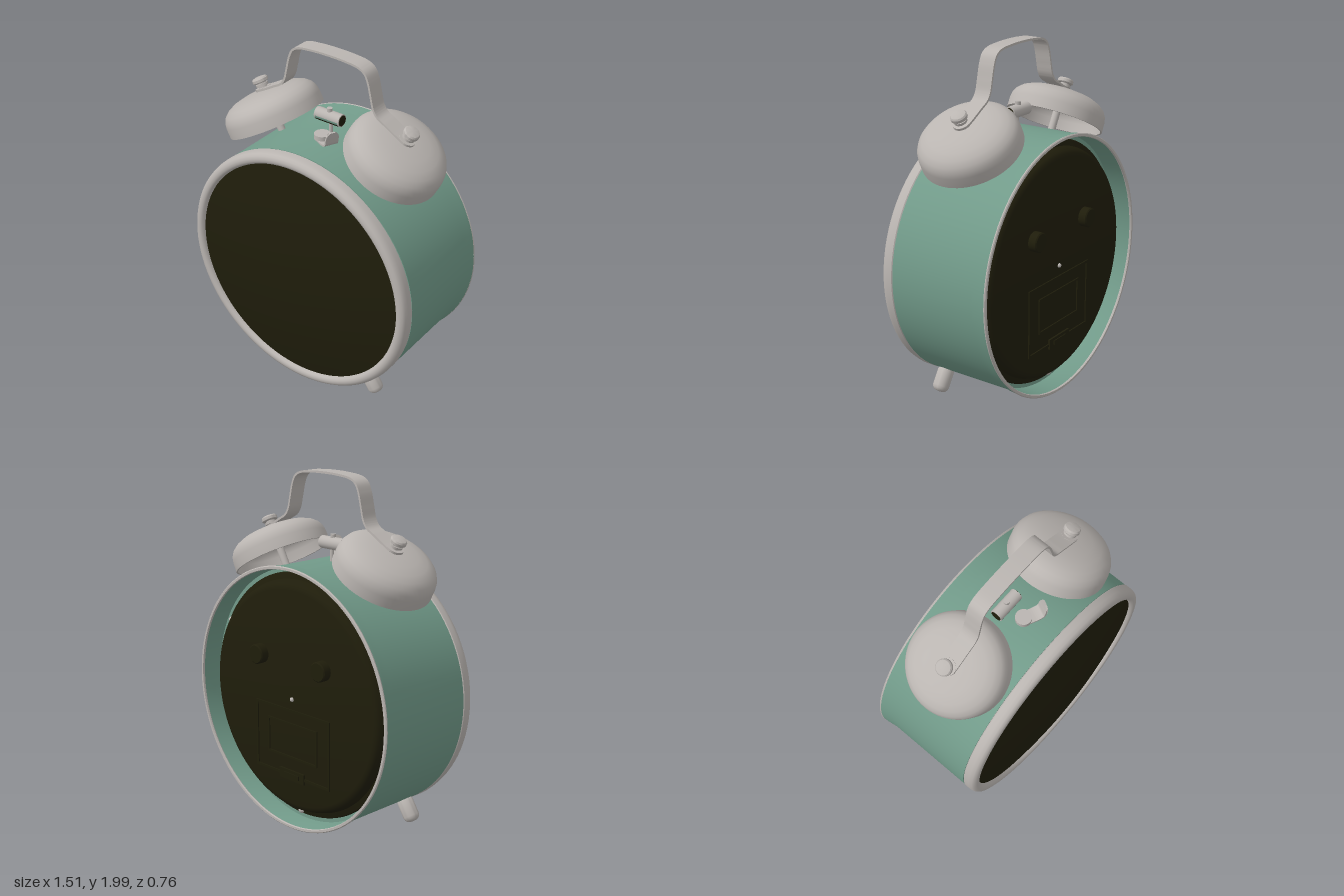
import * as THREE from 'three';
import { toCreasedNormals } from 'three/addons/utils/BufferGeometryUtils.js';

const material = (name, color) => {
  const m = new THREE.MeshStandardMaterial({ color });
  m.name = name;
  return m;
};

export function createModel() {
  const model = new THREE.Group();
  model.name = 'alarmClock';
  const metal = material('brushed metal', 0xbab5b1);
  const paint = material('green paint', 0x729b8a);
  const dark = material('dark glass and plastic', 0x1f1d0b);

  const CY = 0.76; // height of the clock centre
  const BELL_ANGLE = 0.505;

  const add = (parent, name, geo, mat, x = 0, y = 0, z = 0) => {
    const mesh = new THREE.Mesh(geo, mat);
    mesh.name = name;
    mesh.position.set(x, y, z);
    parent.add(mesh);
    return mesh;
  };
  // Turned profile of [radius, height] points, outside listed upwards
  const turned = (pts, seg = 96) =>
    toCreasedNormals(new THREE.LatheGeometry(pts.map(p => new THREE.Vector2(...p)), seg), 0.6);
  const cyl = (r, h, seg = 32) => new THREE.CylinderGeometry(r, r, h, seg);
  // Flat strip bent along a path in the xy plane, centred on z = 0
  const ribbon = (pts, width, thick, steps) => {
    const curve = new THREE.CatmullRomCurve3(pts.map(p => new THREE.Vector3(p[0], p[1], 0)), false, 'centripetal');
    const upper = [], lower = [];
    for (let i = 0; i <= steps; i++) {
      const p = curve.getPoint(i / steps), t = curve.getTangent(i / steps);
      upper.push(new THREE.Vector2(p.x - t.y * thick / 2, p.y + t.x * thick / 2));
      lower.unshift(new THREE.Vector2(p.x + t.y * thick / 2, p.y - t.x * thick / 2));
    }
    const geo = new THREE.ExtrudeGeometry(new THREE.Shape([...upper, ...lower]), { depth: width, bevelEnabled: false });
    geo.translate(0, 0, -width / 2);
    return toCreasedNormals(geo, 0.6);
  };

  // Case parts are turned about the front-to-back axis
  const clockCase = new THREE.Group();
  clockCase.name = 'case';
  clockCase.position.y = CY;
  clockCase.rotation.x = Math.PI / 2;
  model.add(clockCase);

  add(clockCase, 'caseShell', turned([
    [0.74, -0.368], [0.752, -0.368], [0.75, -0.345], [0.742, -0.29], [0.741, -0.28], [0.741, 0.25],
    [0.70, 0.25], [0.728, 0.24], [0.728, -0.245], [0.66, -0.245], [0.66, -0.25], [0.728, -0.25],
    [0.73, -0.3], [0.74, -0.368],
  ]), paint);
  add(clockCase, 'rearRim', turned([
    [0.733, -0.37], [0.736, -0.378], [0.749, -0.378], [0.754, -0.373], [0.752, -0.366], [0.736, -0.364], [0.733, -0.37],
  ]), metal);
  add(clockCase, 'bezel', turned([
    [0.69, 0.25], [0.736, 0.25], [0.743, 0.257], [0.743, 0.29], [0.738, 0.311], [0.728, 0.324], [0.712, 0.33],
    [0.698, 0.33], [0.686, 0.324], [0.678, 0.31], [0.676, 0.29], [0.69, 0.25],
  ]), metal);

  const domePoints = [];
  for (let i = 0; i <= 12; i++) {
    const r = 0.685 * (1 - i / 12);
    domePoints.push([r, 0.38 - r * r / 6.3]);
  }
  add(clockCase, 'frontGlass', turned(domePoints), dark);
  add(clockCase, 'backPanel', turned([
    [0, -0.335], [0.62, -0.335], [0.638, -0.33], [0.652, -0.318], [0.662, -0.295], [0.668, -0.275],
    [0.7, -0.262], [0.705, -0.25],
  ]), dark);

  // Back details: setting knobs, screws, centre pin and battery door
  for (const s of [-1, 1]) {
    const knob = add(model, 'settingKnob', turned([[0, -0.02], [0.05, -0.02], [0.056, -0.014], [0.056, 0.035]], 32),
      dark, s * 0.25, 0.98, -0.365);
    knob.rotation.x = Math.PI / 2;
  }
  for (const a of [Math.PI / 6, Math.PI * 1.5]) {
    add(model, 'rearScrew', new THREE.SphereGeometry(0.02, 16, 10), metal,
      0.678 * Math.cos(a), CY + 0.678 * Math.sin(a), -0.268);
  }
  add(model, 'centrePin', new THREE.SphereGeometry(0.013, 12, 8), metal, 0, CY, -0.336);

  const frame = (w, h, bar) => {
    const rect = (C, hw, hh) => new C([[-hw, -hh], [hw, -hh], [hw, hh], [-hw, hh]].map(p => new THREE.Vector2(...p)));
    const shape = rect(THREE.Shape, w / 2, h / 2);
    shape.holes.push(rect(THREE.Path, w / 2 - bar, h / 2 - bar));
    return new THREE.ExtrudeGeometry(shape, { depth: 0.008, bevelEnabled: false });
  };
  add(model, 'batteryDoorFrame', frame(0.6, 0.4, 0.015), dark, 0, 0.5, -0.342);
  add(model, 'batteryDoorPanel', frame(0.4, 0.21, 0.012), dark, 0, 0.515, -0.342);
  add(model, 'batteryDoorLatch', new THREE.BoxGeometry(0.2, 0.06, 0.02), dark, 0, 0.31, -0.336);
  add(model, 'batteryDoorCatch', new THREE.BoxGeometry(0.12, 0.025, 0.03), dark, 0, 0.31, -0.336);

  // Bells, bolts and feet all radiate from the clock centre
  for (const s of [-1, 1]) {
    const side = s > 0 ? 'left' : 'right';
    const bellArm = new THREE.Group();
    bellArm.name = side + 'BellGroup';
    bellArm.position.set(0, CY, -0.036);
    bellArm.rotation.z = -s * BELL_ANGLE;
    model.add(bellArm);
    add(bellArm, side + 'Bell', turned([
      [0.276, 0], [0.285, 0], [0.284, 0.06], [0.279, 0.088], [0.264, 0.116], [0.237, 0.14], [0.197, 0.159],
      [0.14, 0.172], [0.075, 0.179], [0, 0.181], [0, 0.171], [0.075, 0.169], [0.14, 0.162], [0.192, 0.149],
      [0.23, 0.131], [0.255, 0.108], [0.269, 0.083], [0.274, 0.058], [0.276, 0],
    ], 64), metal, 0, 0.811);
    add(bellArm, 'bellPost', cyl(0.022, 0.28), metal, 0, 0.86);
    add(bellArm, 'handleEnd', cyl(0.048, 0.013), metal, 0, 0.999);
    add(bellArm, 'boltWasher', cyl(0.036, 0.014), metal, 0, 1.02);
    add(bellArm, 'boltNeck', cyl(0.026, 0.05), metal, 0, 1.022);
    add(bellArm, 'boltHead', turned([
      [0, 0], [0.04, 0], [0.046, 0.005], [0.046, 0.02], [0.04, 0.028], [0.025, 0.032], [0, 0.033],
    ], 32), metal, 0, 1.034);

    const footArm = new THREE.Group();
    footArm.name = side + 'FootGroup';
    footArm.position.set(0, CY, 0.16);
    footArm.rotation.z = s * 0.575;
    model.add(footArm);
    add(footArm, side + 'Foot', turned([
      [0, -0.874], [0.02, -0.872], [0.034, -0.866], [0.043, -0.855], [0.047, -0.84],
      [0.047, -0.75], [0.042, -0.738], [0, -0.735],
    ], 32), metal);
  }

  // Carrying handle
  const half = [[0.1, 1.99], [0.195, 1.978], [0.235, 1.955], [0.258, 1.91], [0.278, 1.83],
    [0.295, 1.765], [0.32, 1.728], [0.37, 1.698], [0.44, 1.657], [0.49, 1.63]];
  const handlePath = [...half.map(([x, y]) => [-x, y]).reverse(), [0, 1.993], ...half];
  add(model, 'handle', ribbon(handlePath, 0.097, 0.012, 140), metal, 0, 0, -0.036);

  // Hammer between the bells, with a coloured inset low on its front
  const hammer = new THREE.Group();
  hammer.name = 'hammer';
  hammer.position.set(-0.022, 1.602, -0.038);
  model.add(hammer);
  const inset = (start, length) => new THREE.CylinderGeometry(0.0365, 0.0365, 0.15, 12, 1, true, start, length);
  for (const [name, geo, mat] of [
    ['hammerHead', cyl(0.036, 0.165), metal],
    ['hammerCore', cyl(0.03, 0.171), dark],
    ['hammerUpperInset', inset(-0.45, 0.4), paint],
    ['hammerLowerInset', inset(-1.2, 0.75), dark],
  ]) add(hammer, name, geo, mat).rotation.z = Math.PI / 2;
  add(hammer, 'hammerStem', cyl(0.011, 0.17, 16), metal, 0.008, -0.06);
  add(hammer, 'hammerTip', cyl(0.016, 0.03, 16), metal, 0, 0.038);

  // Stop lever on top of the case, its tab rounded off at the end
  const lever = new THREE.Group();
  lever.name = 'stopLever';
  lever.position.set(0, 0, 0.06);
  lever.rotation.y = -0.45;
  model.add(lever);
  add(lever, 'leverPivot', cyl(0.045, 0.03), metal, 0, 1.535);
  add(lever, 'leverShaft', cyl(0.02, 0.06, 16), metal, 0, 1.505);
  const tab = ribbon([[0, 1.52], [0.07, 1.522], [0.1, 1.535], [0.112, 1.57], [0.122, 1.615]], 0.078, 0.01, 40);
  const pos = tab.attributes.position;
  for (let i = 0; i < pos.count; i++) {
    const k = THREE.MathUtils.clamp((pos.getY(i) - 1.572) / 0.046, 0, 0.98);
    pos.setZ(i, pos.getZ(i) * Math.sqrt(1 - k * k));
  }
  add(lever, 'leverTab', toCreasedNormals(tab, 0.6), metal);

  return model;
}
